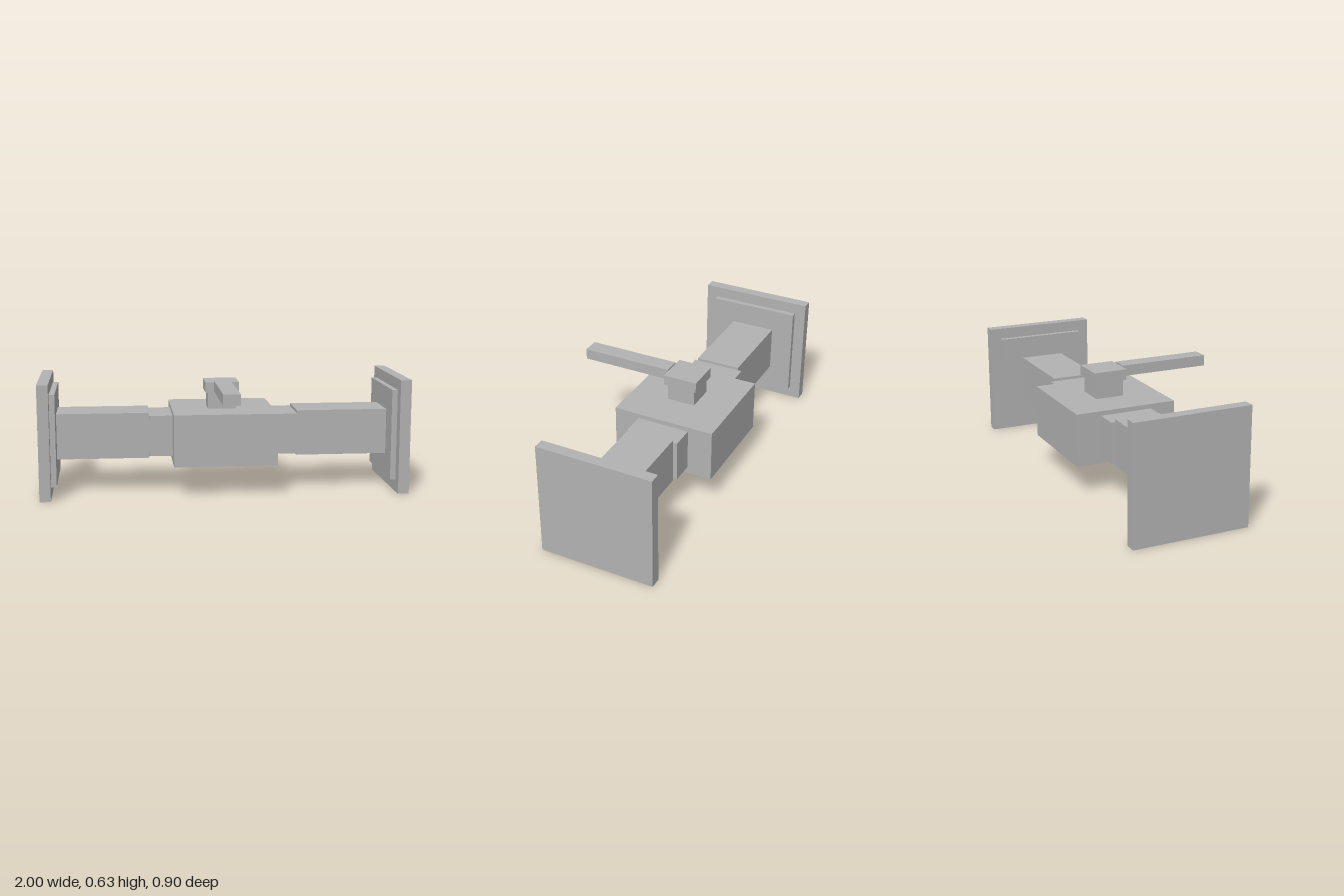
import * as THREE from 'three';

export function createModel() {
  const group = new THREE.Group();
  const greyMetal = new THREE.MeshStandardMaterial({ color: 0xb2b2b2 });
  greyMetal.name = 'grey metal';

  // Box given by its extents along each axis
  function block(name, [x0, x1], [y0, y1], [z0, z1]) {
    const mesh = new THREE.Mesh(new THREE.BoxGeometry(x1 - x0, y1 - y0, z1 - z0), greyMetal);
    mesh.position.set((x0 + x1) / 2, (y0 + y1) / 2, (z0 + z1) / 2);
    mesh.name = name;
    group.add(mesh);
  }

  // Pipe run, mirrored on both sides of the valve
  for (const side of [1, -1]) {
    const label = side > 0 ? 'left' : 'right';
    const span = (a, b) => (side > 0 ? [a, b] : [-b, -a]);
    block(label + 'Flange', span(0.94, 1), [0, 0.626], [-0.45, 0.175]);
    block(label + 'FlangeCollar', span(0.91, 0.94), [0.065, 0.565], [-0.388, 0.11]);
    block(label + 'Pipe', span(0.407, 0.91), [0.19, 0.44], [-0.263, -0.015]);
    block(label + 'Connector', span(0.28, 0.407), [0.202, 0.425], [-0.285, 0.002]);
  }

  // Valve body with stem, cap and lever
  block('valveBody', [-0.281, 0.281], [0.165, 0.449], [-0.42, 0.14]);
  block('valveStem', [-0.08, 0.075], [0.449, 0.54], [-0.22, -0.065]);
  block('stemCap', [-0.095, 0.09], [0.54, 0.597], [-0.236, -0.049]);
  block('leverHandle', [-0.048, 0.043], [0.547, 0.605], [-0.049, 0.45]);

  return group;
}
